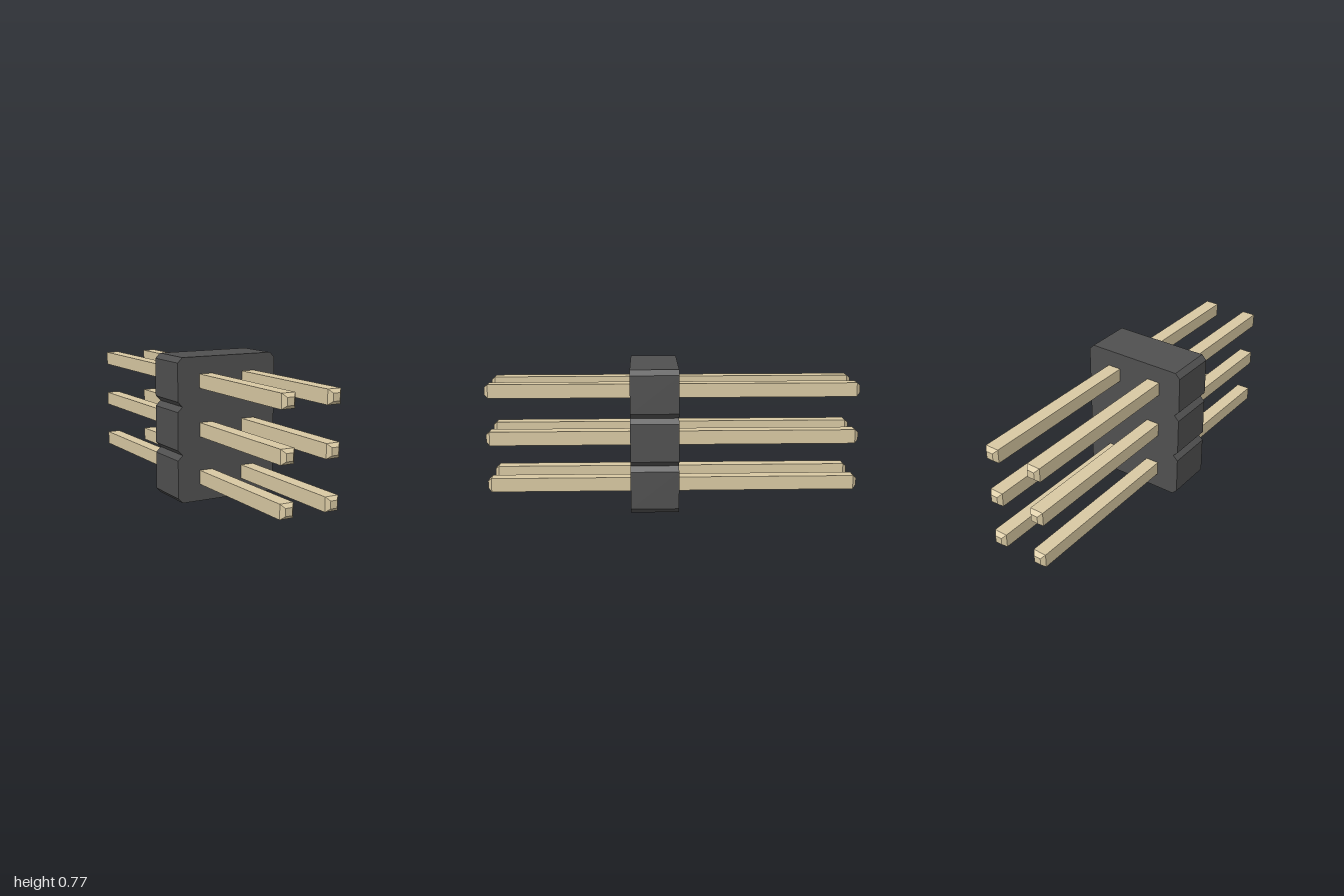
import * as THREE from 'three';

const ROWS = 3, PITCH = 0.256, HALF_W = 0.294, CHAMFER = 0.027;
const BACK = -0.027, DEPTH = 0.256;
const PIN = 0.075, TIP = 0.039, TAPER = 0.02;

// Square pin along z with a tapered tip at each end
function pinGeometry() {
  const geo = new THREE.BoxGeometry(PIN, PIN, 2, 1, 1, 3);
  const p = geo.attributes.position;
  for (let i = 0; i < p.count; i++) {
    const z = p.getZ(i);
    if (Math.abs(z) > 0.9) {
      p.setX(i, Math.sign(p.getX(i)) * TIP / 2);
      p.setY(i, Math.sign(p.getY(i)) * TIP / 2);
    } else {
      p.setZ(i, Math.sign(z) * (1 - TAPER));
    }
  }
  const flat = geo.toNonIndexed();
  flat.computeVertexNormals();
  return flat;
}

// Insulating block: stacked cells whose chamfers form the side notches
function housingGeometry() {
  const right = [];
  for (let i = 0; i < ROWS; i++) {
    const y0 = i * PITCH, y1 = y0 + PITCH;
    if (i === 0) right.push([HALF_W - CHAMFER, y0]);
    right.push([HALF_W, y0 + CHAMFER], [HALF_W, y1 - CHAMFER], [HALF_W - CHAMFER, y1]);
  }
  const left = right.map(([x, y]) => [-x, y]).reverse();
  const outline = [...right, ...left].map(([x, y]) => new THREE.Vector2(x, y));
  const geo = new THREE.ExtrudeGeometry(new THREE.Shape(outline), { depth: DEPTH, bevelEnabled: false });
  return geo.translate(0, 0, BACK);
}

export function createModel() {
  const group = new THREE.Group();
  group.name = 'pinHeader';
  const plastic = new THREE.MeshStandardMaterial({ color: 0x505050, flatShading: true });
  const metal = new THREE.MeshStandardMaterial({ color: 0xd9c9a3, flatShading: true });

  const housing = new THREE.Mesh(housingGeometry(), plastic);
  housing.name = 'housing';
  group.add(housing);

  // Two columns of pins
  const pinGeo = pinGeometry();
  for (let row = 0; row < ROWS; row++) {
    for (const side of [-1, 1]) {
      const pin = new THREE.Mesh(pinGeo, metal);
      pin.name = `${side > 0 ? 'left' : 'right'}Pin${row + 1}`;
      pin.position.set(side * PITCH / 2, (row + 0.5) * PITCH, 0);
      group.add(pin);
    }
  }
  return group;
}
